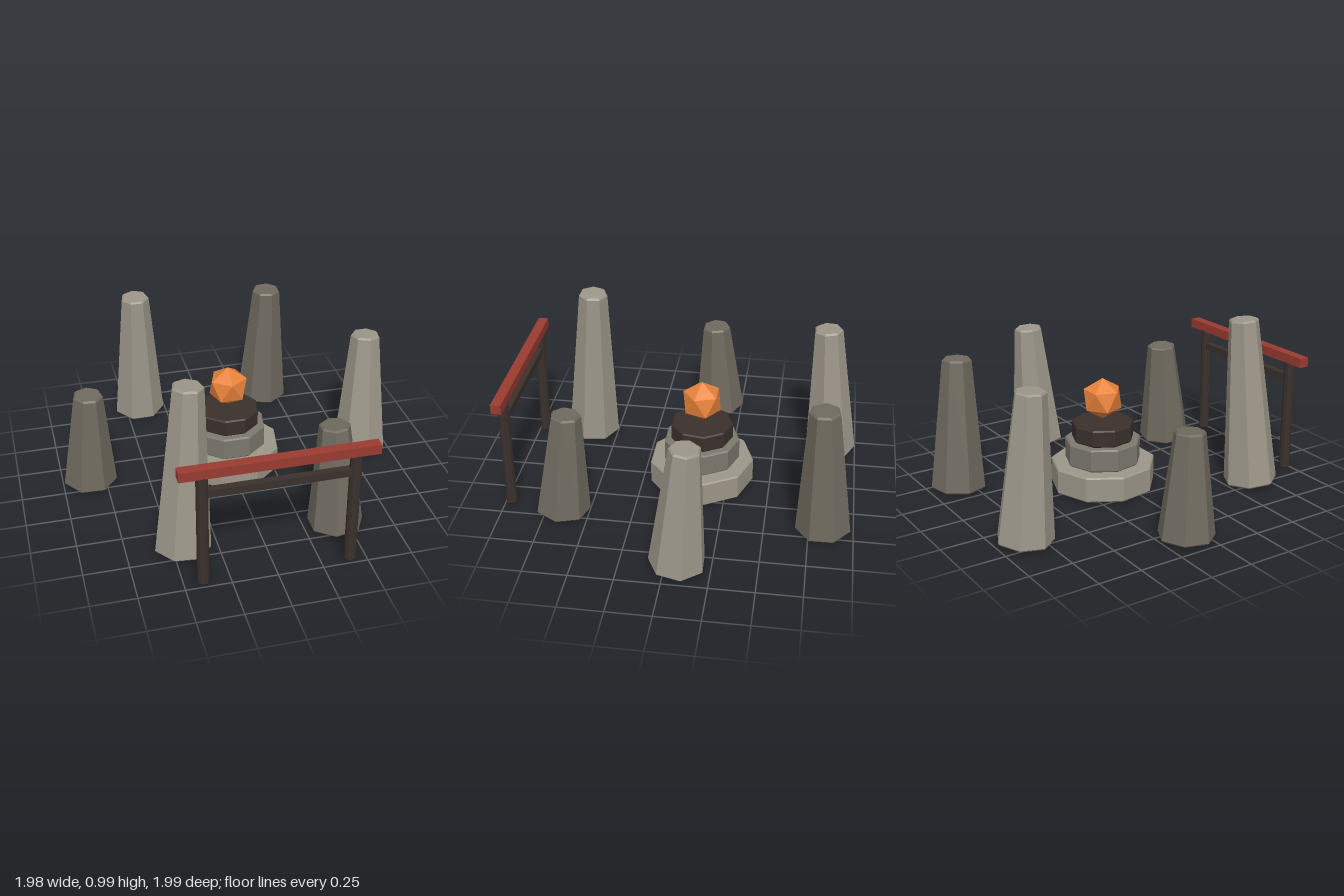
import * as THREE from 'three';

const mat = (color) => new THREE.MeshStandardMaterial({ color, flatShading: true });
const lightStone = mat(0x9c9689);
const darkStone = mat(0x6f6a5f);
const midStone = mat(0x7c786d);
const darkWood = mat(0x3a302c);
const redWood = mat(0x9a3b30);
const amber = mat(0xe8823a);

// Many-sided block with a small chamfer on both rims, standing on y = 0
function facetedBlock(r0, r1, h, sides, turnDeg, c = 0.01) {
  const profile = [[0, 0], [r0 - c, 0], [r0, c], [r1, h - c], [r1 - c, h], [0, h]]
    .map(([x, y]) => new THREE.Vector2(x, y));
  return new THREE.LatheGeometry(profile, sides, THREE.MathUtils.degToRad(turnDeg));
}

function addMesh(parent, name, geometry, material, x, y, z) {
  const mesh = new THREE.Mesh(geometry, material);
  mesh.name = name;
  mesh.position.set(x, y, z);
  parent.add(mesh);
  return mesh;
}

export function createModel() {
  const model = new THREE.Group();
  model.name = 'stoneCircleShrine';

  // Ring of leaning standing stones: base x, z, top x, z, height, turn, material
  const stones = new THREE.Group();
  stones.name = 'standingStones';
  model.add(stones);
  const up = new THREE.Vector3(0, 1, 0);
  [
    [0.83, -0.065, 0.842, -0.11, 0.765, 2, lightStone],
    [0.43, 0.655, 0.413, 0.61, 0.64, 36, darkStone],
    [-0.445, 0.655, -0.385, 0.61, 0.995, 24, lightStone],
    [-0.84, -0.105, -0.82, -0.08, 0.605, 25, darkStone],
    [-0.415, -0.84, -0.418, -0.785, 0.84, 26, lightStone],
    [0.41, -0.83, 0.425, -0.795, 0.79, 11, darkStone],
  ].forEach(([bx, bz, tx, tz, h, turn, material], i) => {
    const base = 0.017;
    const axis = new THREE.Vector3(tx - bx, h - base, tz - bz);
    const stone = addMesh(stones, `standingStone${i + 1}`,
      facetedBlock(0.158, 0.086, axis.length(), 7, turn), material, bx, base, bz);
    stone.quaternion.setFromUnitVectors(up, axis.normalize());
  });

  // Stepped nine-sided altar
  const altar = new THREE.Group();
  altar.name = 'altar';
  altar.position.z = -0.092;
  model.add(altar);
  [
    ['altarBase', 0.306, 0.015, 0.165, lightStone],
    ['altarMiddle', 0.222, 0.165, 0.3, midStone],
    ['altarTop', 0.182, 0.3, 0.402, darkWood],
  ].forEach(([name, r, y0, y1, material]) =>
    addMesh(altar, name, facetedBlock(r, r, y1 - y0, 9, 20, 0.008), material, 0, y0, 0));

  // Floating crystal, one corner pointing straight up
  const crystal = new THREE.IcosahedronGeometry(0.122, 0);
  crystal.rotateZ(Math.atan(2 / (1 + Math.sqrt(5))));
  crystal.rotateY(Math.PI / 2);
  addMesh(altar, 'floatingCrystal', crystal, amber, 0, 0.54, 0);

  // Gate: two posts, a cross rail and a red lintel
  const gate = new THREE.Group();
  gate.name = 'gate';
  gate.position.set(0.004, 0, 0.964);
  model.add(gate);
  for (const side of [-1, 1]) {
    addMesh(gate, side > 0 ? 'leftPost' : 'rightPost',
      facetedBlock(0.032, 0.032, 0.675, 10, 0, 0.005), darkWood, side * 0.402, 0.015, 0);
  }
  addMesh(gate, 'crossRail', new THREE.BoxGeometry(0.8, 0.043, 0.04), darkWood, 0, 0.582, 0);
  addMesh(gate, 'lintel', new THREE.BoxGeometry(1.05, 0.055, 0.058), redWood, 0, 0.708, 0);

  return model;
}
